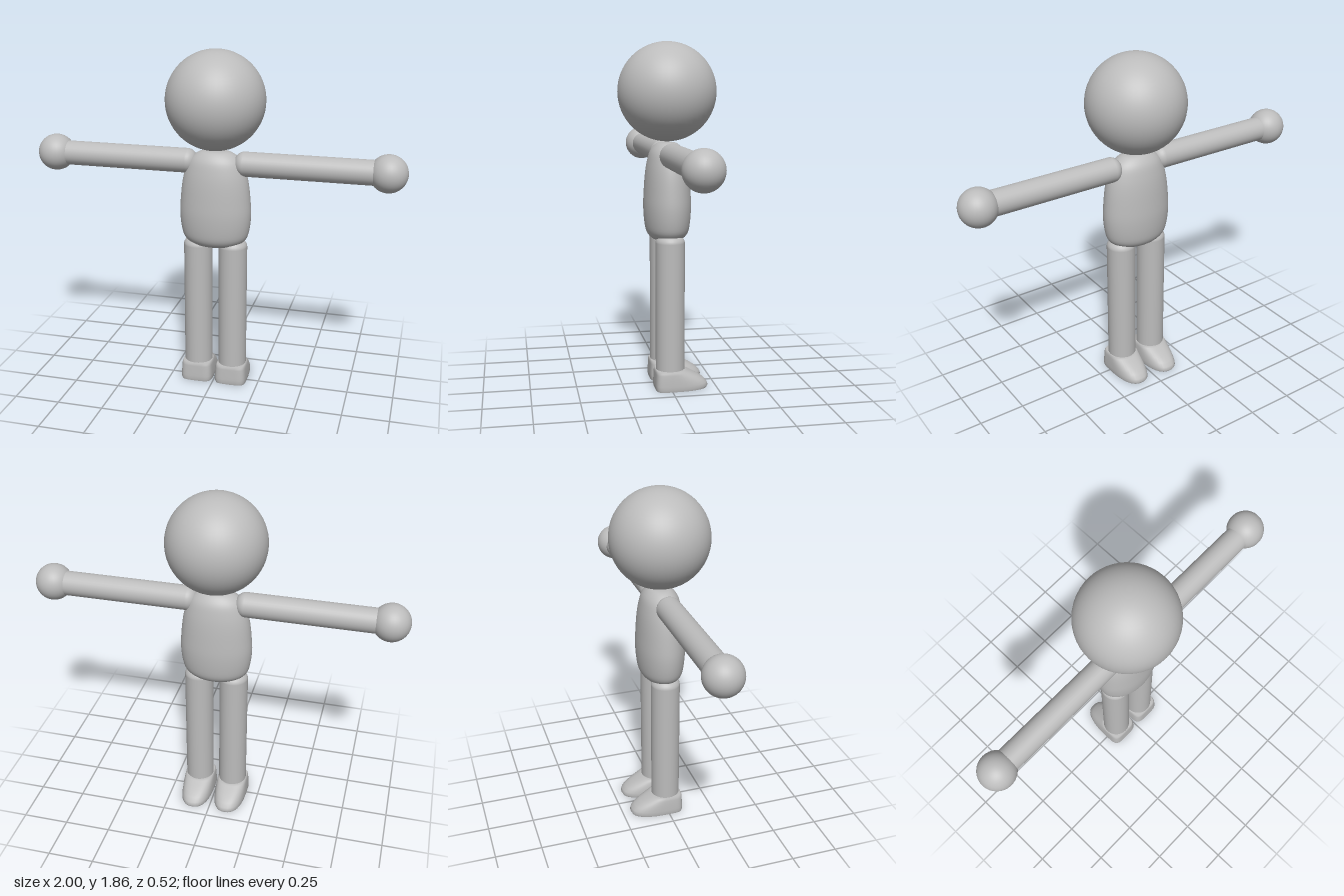
import * as THREE from 'three';

const LEG_X = 0.097, ARM_Y = 1.263;

// Shoe built from stacked horizontal outlines: squarish heel, rounded toe towards -z
function footGeometry() {
  // [height, heel reach, toe reach, half width]
  const rows = [
    [0, 0, 0, 0], [0, 0.084, 0.2, 0.086], [0, 0.084, 0.2, 0.086],
    [0.012, 0.087, 0.206, 0.089], [0.03, 0.087, 0.2, 0.089], [0.05, 0.086, 0.18, 0.088],
    [0.07, 0.085, 0.15, 0.087], [0.09, 0.084, 0.112, 0.085], [0.102, 0.083, 0.088, 0.083],
    [0.11, 0.078, 0.074, 0.078], [0.11, 0, 0, 0],
  ];
  const n = 40, position = [], index = [];
  const bend = (v, e) => Math.sign(v) * Math.abs(v) ** e;
  rows.forEach(([y, heel, toe, w], i) => {
    for (let j = 0; j < n; j++) {
      const a = (j / n) * Math.PI * 2, c = Math.cos(a), s = Math.sin(a);
      const e = s > 0 ? 0.45 : 0.8;
      position.push(w * bend(c, e), y, (s > 0 ? heel : toe) * bend(s, e));
      if (i < rows.length - 1) {
        const p = i * n + j, q = i * n + (j + 1) % n;
        index.push(p, p + n, q, q, p + n, q + n);
      }
    }
  });
  const g = new THREE.BufferGeometry();
  g.setAttribute('position', new THREE.Float32BufferAttribute(position, 3));
  g.setIndex(index);
  g.computeVertexNormals();
  return g;
}

// Egg-like body, flattened front to back
function torsoGeometry() {
  const profile = [
    [0, 0.8], [0.06, 0.801], [0.125, 0.812], [0.168, 0.845], [0.186, 0.9], [0.194, 0.98],
    [0.19, 1.06], [0.18, 1.15], [0.164, 1.22], [0.138, 1.28], [0.09, 1.318], [0.045, 1.327], [0, 1.328],
  ].map(([x, y]) => new THREE.Vector2(x, y));
  const points = new THREE.SplineCurve(profile).getPoints(48);
  points.forEach((p) => { p.x = Math.max(p.x, 0); });
  return new THREE.LatheGeometry(points, 48).scale(1, 1, 0.65);
}

// Limb running up from y = 0 with a softly rounded far end
function limbGeometry(radius, length, cap) {
  const points = [new THREE.Vector2(0, 0), new THREE.Vector2(radius, 0), new THREE.Vector2(radius, 0)];
  for (let i = 0; i <= 10; i++) {
    const a = (i / 10) * Math.PI / 2;
    points.push(new THREE.Vector2(radius * Math.cos(a), length - cap + cap * Math.sin(a)));
  }
  return new THREE.LatheGeometry(points, 32);
}

export function createModel() {
  const model = new THREE.Group();
  model.name = 'figure';
  const grey = new THREE.MeshStandardMaterial({ color: 0xbcbcbc });
  grey.name = 'plain grey';

  const add = (name, geometry, x, y, z = 0) => {
    const mesh = new THREE.Mesh(geometry, grey);
    mesh.name = name;
    mesh.position.set(x, y, z);
    model.add(mesh);
    return mesh;
  };

  add('head', new THREE.SphereGeometry(0.262, 48, 32), 0, 1.593);
  add('torso', torsoGeometry(), 0, 0);

  const leg = limbGeometry(0.078, 0.75, 0.05);
  const arm = limbGeometry(0.066, 0.75, 0.055);
  const hand = new THREE.SphereGeometry(0.099, 32, 24);
  const foot = footGeometry();

  // Mirrored limbs
  for (const [side, s] of [['left', 1], ['right', -1]]) {
    add(side + 'Arm', arm, s * 0.85, ARM_Y).rotation.z = s * Math.PI / 2;
    add(side + 'Hand', hand, s * 0.901, ARM_Y);
    add(side + 'Leg', leg, s * LEG_X, 0.1);
    add(side + 'Foot', foot, s * LEG_X, 0);
  }
  return model;
}
